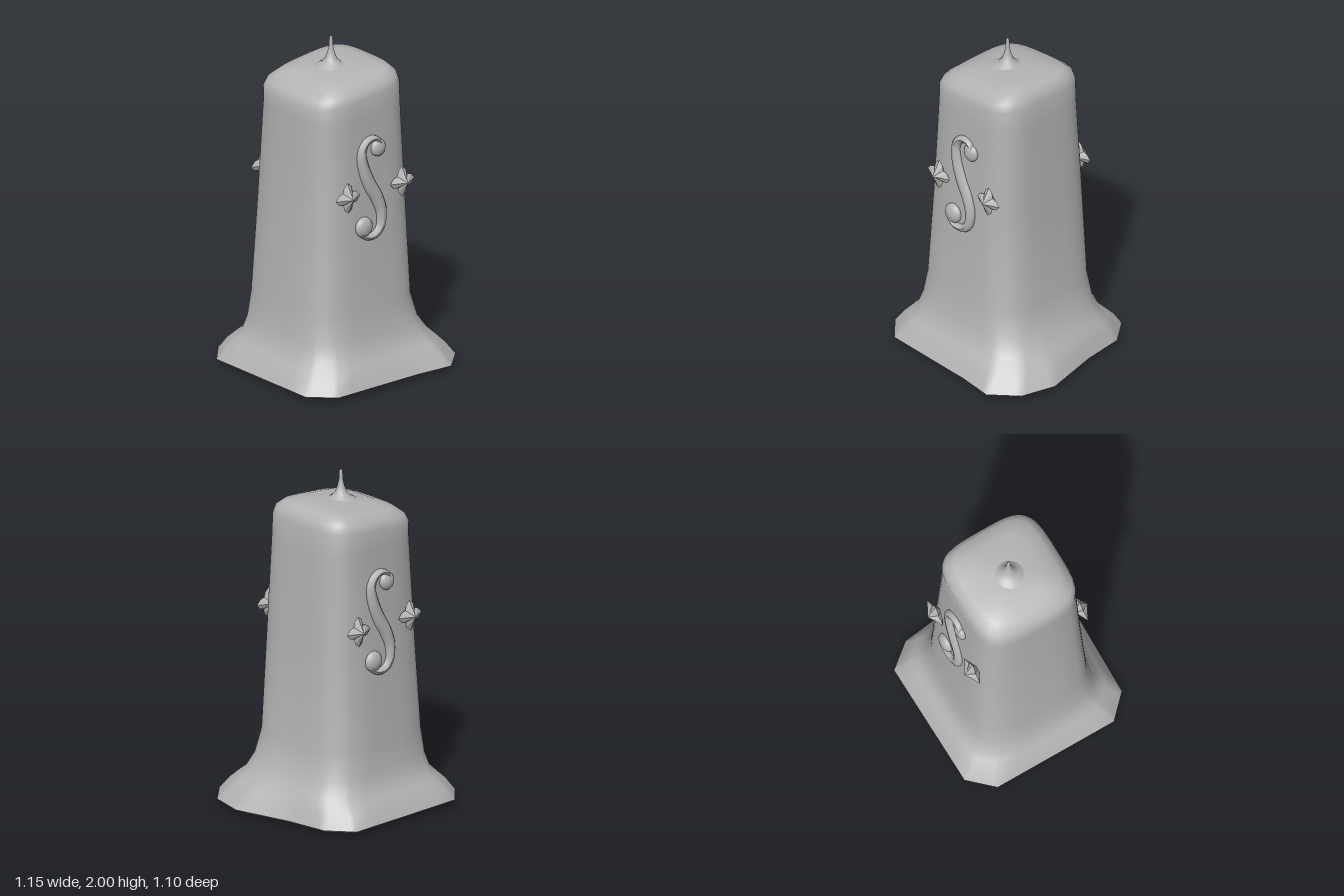
import * as THREE from 'three';
import { toCreasedNormals } from 'three/addons/utils/BufferGeometryUtils.js';

const wax = new THREE.MeshStandardMaterial({ color: 0xb4b4b4 });
wax.name = 'grey wax';

// Skin a stack of closed rings (arrays of [x, y, z])
function loft(rings, crease) {
  const n = rings[0].length, index = [];
  for (let i = 0; i < rings.length - 1; i++) {
    for (let j = 0; j < n; j++) {
      const k = (j + 1) % n;
      const a = i * n + j, b = i * n + k, c = a + n, d = b + n;
      index.push(a, c, b, b, c, d);
    }
  }
  const g = new THREE.BufferGeometry();
  g.setAttribute('position', new THREE.Float32BufferAttribute(rings.flat(2), 3));
  g.setIndex(index);
  return toCreasedNormals(g, crease);
}

function addMesh(parent, name, geometry, x = 0, y = 0, z = 0) {
  const m = new THREE.Mesh(geometry, wax);
  m.name = name;
  m.position.set(x, y, z);
  parent.add(m);
  return m;
}

const CX = -0.05, CZ = -0.02;

// Irregular outline of the spread foot, seen from above
const FOOT = [[-0.575, -0.41], [-0.44, -0.55], [0.34, -0.55], [0.46, -0.4], [0.49, -0.15],
  [0.575, 0.2], [0.52, 0.41], [0.37, 0.545], [0.15, 0.52], [-0.44, 0.5], [-0.575, 0.365]];

function bodyGeometry() {
  const outline = [];
  FOOT.forEach((p, i) => {
    const q = FOOT[(i + 1) % FOOT.length];
    for (let s = 0; s < 6; s++) {
      outline.push([p[0] + (q[0] - p[0]) * s / 6 - CX, p[1] + (q[1] - p[1]) * s / 6 - CZ]);
    }
  });
  // y, left x, right x, back z, front z, share of the foot outline, its scale, tilt
  const levels = [
    [0.0, 0, 0, 0, 0, 1, 0, 0],
    [0.0, 0, 0, 0, 0, 1, 0.9, 0],
    [0.03, 0, 0, 0, 0, 1, 1, 0],
    [0.1, -0.54, 0.5, -0.52, 0.48, 0.8, 0.93, 0],
    [0.15, -0.5, 0.46, -0.47, 0.445, 0.5, 0.87, 0],
    [0.19, -0.475, 0.42, -0.435, 0.41, 0.3, 0.83, 0],
    [0.28, -0.455, 0.37, -0.415, 0.385, 0.1, 0.76, 0],
    [0.43, -0.435, 0.335, -0.4, 0.36, 0, 1, 0],
    [1.0, -0.4, 0.31, -0.375, 0.335, 0, 1, 0],
    [1.6, -0.375, 0.285, -0.345, 0.31, 0, 1, 0],
    [1.71, -0.375, 0.28, -0.345, 0.308, 0, 1, 0.08],
    [1.755, -0.355, 0.265, -0.33, 0.295, 0, 1, 0.1],
    [1.795, -0.3, 0.23, -0.28, 0.245, 0, 1, 0.1],
    [1.815, -0.22, 0.16, -0.2, 0.17, 0, 1, 0.08],
    [1.83, CX, CX, CZ, CZ, 0, 1, 0],
  ];
  return loft(levels.map(([y, x0, x1, z0, z1, share, scale, tilt]) => outline.map(([px, pz]) => {
    // Rounded square in the same direction as the foot point
    const r = Math.hypot(px, pz), c = px / r, s = pz / r;
    const k = Math.pow(c ** 4 + s ** 4, -0.25);
    const mx = (x0 + x1) / 2, mz = (z0 + z1) / 2;
    const sx = mx + c * k * (x1 - x0) / 2, sz = mz + s * k * (z1 - z0) / 2;
    const x = sx + (CX + px * scale - sx) * share;
    const z = sz + (CZ + pz * scale - sz) * share;
    return [x, y + tilt * (x - CX), z];
  })), 0.9);
}

// Four-pointed star with a raised centre on both faces, facing z
function starGeometry() {
  const radii = [0.092, 0.073, 0.051, 0.073];
  const layers = [[0, -0.05], [0.45, -0.024], [1, 0], [0.45, 0.024], [0, 0.05]];
  const g = loft(layers.map(([s, h]) => Array.from({ length: 16 }, (_, i) => {
    const a = i * Math.PI / 8, r = radii[i % 4] * s;
    return [r * Math.cos(a), h, r * Math.sin(a)];
  })), 0.4);
  return g.rotateX(Math.PI / 2);
}

// Flattened S-shaped band, thick in the middle and thin at the curls
function scrollGeometry() {
  const path = new THREE.CatmullRomCurve3([[0.05, 0.27], [0.03, 0.295], [-0.01, 0.305], [-0.055, 0.285],
    [-0.083, 0.23], [-0.072, 0.14], [-0.03, 0.03], [0.02, -0.06], [0.05, -0.15],
    [0.04, -0.235], [0.0, -0.275], [-0.06, -0.28], [-0.11, -0.255]]
    .map(([x, y]) => new THREE.Vector3(x, y, 0)));
  const SEG = 60, SIDES = 10;
  const g = new THREE.TubeGeometry(path, SEG, 1, SIDES);
  const p = g.attributes.position, v = new THREE.Vector3();
  for (let i = 0; i <= SEG; i++) {
    const t = i / SEG, c = path.getPointAt(t);
    const w = 0.012 + 0.03 * Math.sin(Math.PI * t);
    for (let j = 0; j <= SIDES; j++) {
      const n = i * (SIDES + 1) + j;
      v.fromBufferAttribute(p, n).sub(c);
      p.setXYZ(n, c.x + v.x * w, c.y + v.y * w, v.z * 0.026);
    }
  }
  g.computeVertexNormals();
  return g;
}

// Ornament for one face: scroll, its two curl knobs and a star on each side
function ornament(name) {
  const group = new THREE.Group();
  group.name = name;
  addMesh(group, 'scroll', scrollGeometry());
  for (const [x, y, r] of [[0.04, 0.24, 0.052], [-0.085, -0.212, 0.06]]) {
    addMesh(group, 'scrollKnob', new THREE.SphereGeometry(r, 20, 14), x, y, 0.002).scale.z = 0.55;
  }
  for (const side of [-1, 1]) addMesh(group, 'star', starGeometry(), side * 0.205, -0.005, 0.012);
  return group;
}

export function createModel() {
  const model = new THREE.Group();
  model.name = 'candle';
  addMesh(model, 'candleBody', bodyGeometry());

  // Wick with a flared foot
  const wick = [[0.1, 1.815], [0.06, 1.835], [0.035, 1.86], [0.02, 1.9], [0.012, 1.94],
    [0.01, 1.985], [0.006, 1.997], [0, 2]].map(([x, y]) => new THREE.Vector2(x, y));
  addMesh(model, 'wick', new THREE.LatheGeometry(wick, 16), -0.048, 0, CZ);

  // The same ornament on the front and back, leaning with the taper
  const front = ornament('frontOrnament');
  front.position.set(-0.03, 1.16, 0.332);
  front.rotation.x = -0.045;
  const back = ornament('backOrnament');
  back.position.set(-0.04, 1.16, -0.37);
  back.rotation.set(0.045, Math.PI, 0);
  model.add(front, back);
  return model;
}
